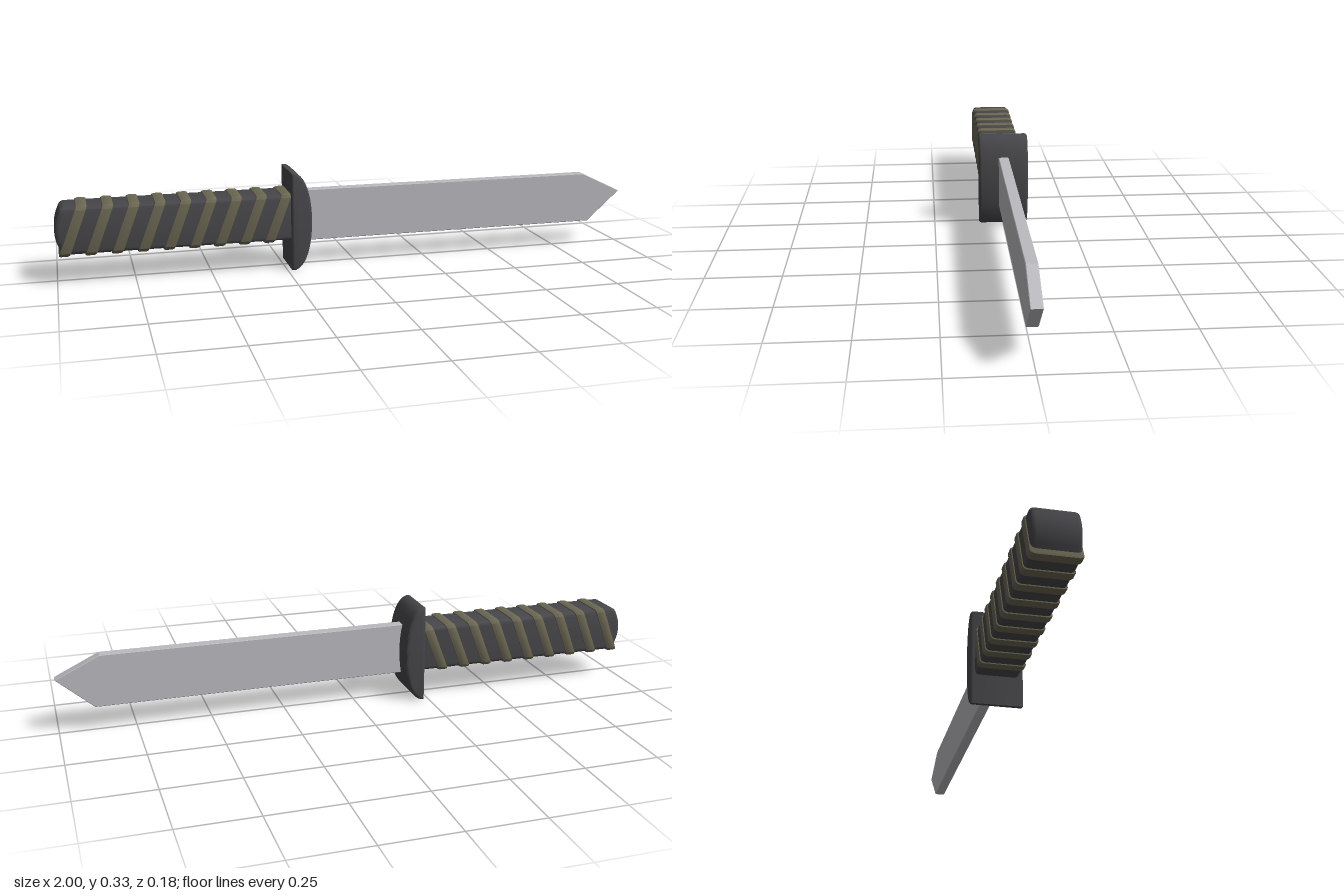
import * as THREE from 'three';
import { toCreasedNormals } from 'three/addons/utils/BufferGeometryUtils.js';

const MID_Y = 0.179; // handle centre line

const gripMat = new THREE.MeshStandardMaterial({ color: 0x47474b });
gripMat.name = 'charcoal';
const wrapMat = new THREE.MeshStandardMaterial({ color: 0x6b6753 });
wrapMat.name = 'olive';
const bladeMat = new THREE.MeshStandardMaterial({ color: 0xbbbbc0 });
bladeMat.name = 'steel';

// Extrusion centred on z, of full thickness `depth` including its bevels
function slab(shape, depth, bevel, segments, crease) {
  const geo = new THREE.ExtrudeGeometry(shape, {
    depth: depth - 2 * bevel, bevelThickness: bevel, bevelSize: bevel,
    bevelOffset: -bevel, bevelSegments: segments, curveSegments: 10,
  });
  geo.translate(0, 0, -depth / 2 + bevel);
  return toCreasedNormals(geo, crease);
}

function roundedRect(w, h, r) {
  const s = new THREE.Shape(), x = w / 2, y = h / 2;
  s.absarc(x - r, y - r, r, 0, Math.PI / 2);
  s.absarc(-x + r, y - r, r, Math.PI / 2, Math.PI);
  s.absarc(-x + r, -y + r, r, Math.PI, Math.PI * 1.5);
  s.absarc(x - r, -y + r, r, Math.PI * 1.5, Math.PI * 2);
  s.closePath();
  return s;
}

export function createModel() {
  const model = new THREE.Group();
  model.name = 'knife';
  const add = (name, geo, mat) => {
    const mesh = new THREE.Mesh(geo, mat);
    mesh.name = name;
    model.add(mesh);
    return mesh;
  };

  // Blade with a pointed tip
  const blade = new THREE.Shape([
    [-0.2, 0.084], [0.88, 0.084], [1, 0.19], [0.855, 0.26], [-0.2, 0.26],
  ].map(([x, y]) => new THREE.Vector2(x, y)));
  add('blade', slab(blade, 0.036, 0.002, 1, 0.2), bladeMat);

  // Guard: flat towards the handle, bowed towards the blade
  const guard = new THREE.Shape();
  guard.moveTo(-0.235, 0);
  guard.lineTo(-0.222, 0);
  guard.bezierCurveTo(-0.185, 0.012, -0.165, 0.08, -0.165, 0.1665);
  guard.bezierCurveTo(-0.165, 0.253, -0.185, 0.321, -0.222, 0.333);
  guard.lineTo(-0.235, 0.333);
  guard.closePath();
  add('guard', slab(guard, 0.176, 0.009, 3, 0.7), gripMat);

  // Handle core with a bowed pommel end
  const core = new THREE.Shape();
  core.moveTo(-0.22, MID_Y - 0.077);
  core.lineTo(-0.22, MID_Y + 0.077);
  core.lineTo(-0.965, MID_Y + 0.077);
  core.quadraticCurveTo(-0.98, MID_Y + 0.077, -0.986, MID_Y + 0.058);
  core.quadraticCurveTo(-1.014, MID_Y, -0.986, MID_Y - 0.058);
  core.quadraticCurveTo(-0.98, MID_Y - 0.077, -0.965, MID_Y - 0.077);
  core.closePath();
  add('handle', slab(core, 0.144, 0.014, 3, 0.7), gripMat);

  // Slanted bands around the handle
  const band = slab(roundedRect(0.154, 0.166, 0.018), 0.038, 0.008, 2, 0.7);
  band.rotateY(Math.PI / 2);
  const shear = new THREE.Matrix4().makeShear(0, 0, 0.38, 0, 0, 0);
  const p = band.attributes.position;
  if (shear.elements[4] === 0) shear.identity().elements[4] = 0.38; // x follows y
  band.applyMatrix4(shear);
  p.needsUpdate = true;
  for (let i = 0; i < 9; i++) {
    add('handleBand' + (i + 1), band, wrapMat).position.set(-0.943 + i * 0.083, MID_Y, 0);
  }
  return model;
}
